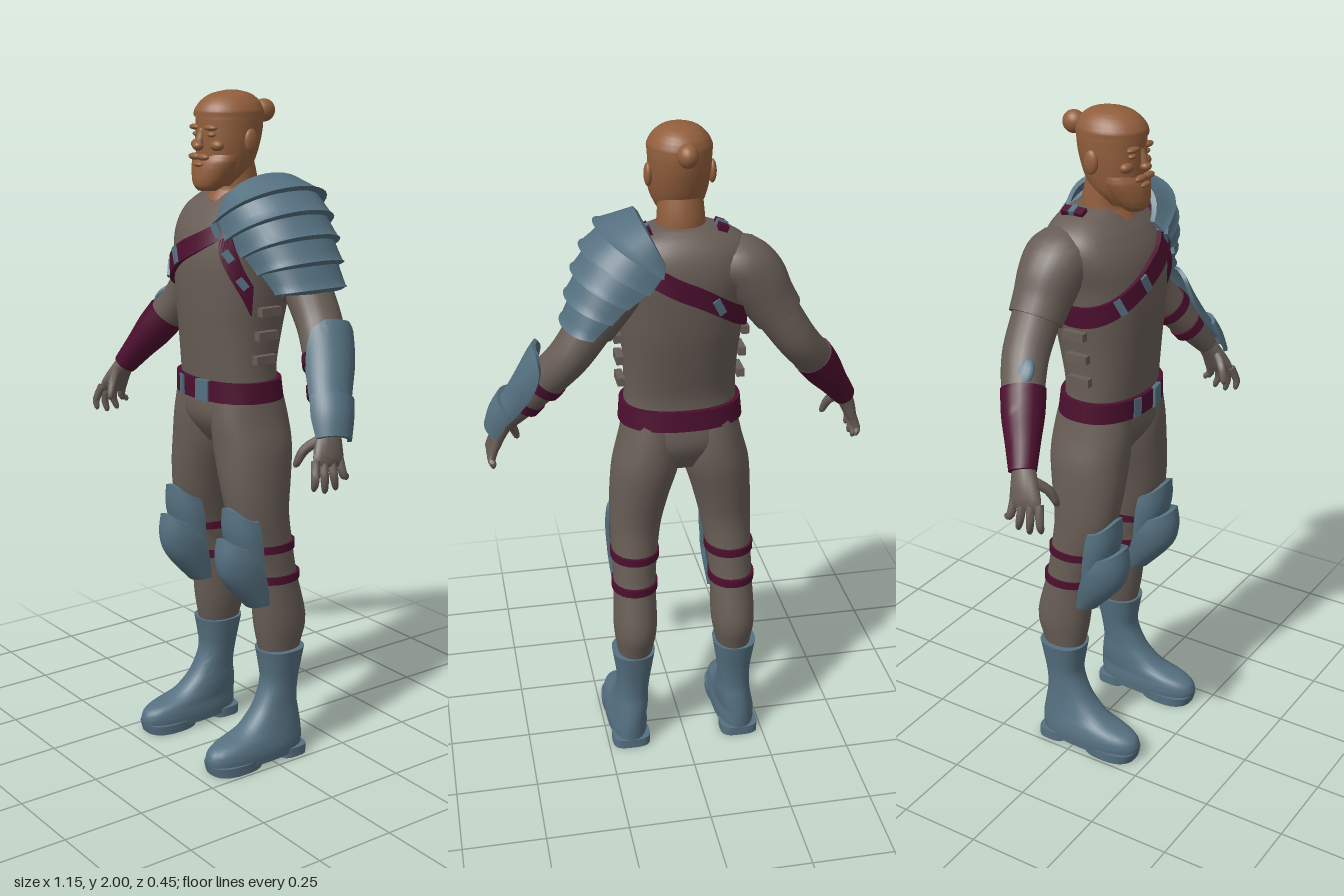
import * as THREE from 'three';
import { toCreasedNormals } from 'three/addons/utils/BufferGeometryUtils.js';

const mat = (name, color) => Object.assign(new THREE.MeshStandardMaterial({ color }), { name });
const V = (x, y, z) => new THREE.Vector3(x, y, z);

// Skin a stack of equal-sized closed rings, cap both ends, and turn the faces outward.
function loft(rings, side = 1, crease = 0.9) {
  const n = rings[0].length, pos = [], idx = [];
  rings.forEach(r => r.forEach(p => pos.push(p.x * side, p.y, p.z)));
  for (let i = 0; i < rings.length - 1; i++) for (let j = 0; j < n; j++) {
    const a = i * n + j, b = i * n + (j + 1) % n;
    idx.push(a, b, a + n, b, b + n, a + n);
  }
  const e = (rings.length - 1) * n;
  for (let j = 0; j < n / 2 - 1; j++) {
    const k = n - 1 - j;
    idx.push(j, k, j + 1, k, k - 1, j + 1);
    idx.push(e + j, e + j + 1, e + k, e + k, e + j + 1, e + k - 1);
  }
  const at = i => V(pos[3 * i], pos[3 * i + 1], pos[3 * i + 2]);
  let volume = 0;
  for (let i = 0; i < idx.length; i += 3) volume += at(idx[i]).dot(at(idx[i + 1]).cross(at(idx[i + 2])));
  if (volume < 0) idx.reverse();
  const g = new THREE.BufferGeometry();
  g.setAttribute('position', new THREE.Float32BufferAttribute(pos, 3));
  g.setIndex(idx);
  return toCreasedNormals(g, crease);
}

// Catmull-Rom resampling of every column of a profile table.
function smooth(rows, k = 4) {
  const out = [], at = i => rows[Math.max(0, Math.min(rows.length - 1, i))];
  for (let i = 0; i < rows.length - 1; i++) for (let s = 0; s < k; s++) {
    const t = s / k;
    out.push(at(i).map((b, c) => {
      const a = at(i - 1)[c], d = at(i + 1)[c], f = at(i + 2)[c];
      return b + 0.5 * t * (d - a + t * (2 * a - 5 * b + 4 * d - f + t * (3 * (b - d) + f - a)));
    }));
  }
  out.push(at(rows.length - 1));
  return out;
}

const pw = (v, p) => Math.sign(v) * Math.abs(v) ** p;
// Horizontal ring point: row = [y, centre x, half width, front z, back z]
const ringPoint = ([y, cx, rx, zf, zb], a, off = 0, p = 1) =>
  V(cx + (rx + off) * pw(Math.sin(a), p), y, (zf + zb) / 2 + ((zf - zb) / 2 + off) * pw(Math.cos(a), p));
const around = (f, n = 28) => Array.from({ length: n }, (_, i) => f(i / n * Math.PI * 2));
const body = (rows, side, p = 1, off = 0, k = 4) =>
  loft(smooth(rows, k).map(r => around(a => ringPoint(r, a, off, p))), side);

// Rings across a bent path: row = [x, y, z, radius out, radius fore-aft, arc half angle]
function pathRings(rows, make) {
  return rows.map((r, i) => {
    const a = rows[Math.max(0, i - 1)], b = rows[Math.min(rows.length - 1, i + 1)];
    const t = V(b[0] - a[0], b[1] - a[1], b[2] - a[2]).normalize();
    const u = V(0, 0, 1).cross(t).normalize(), v = t.clone().cross(u);
    return make((ang, off = 0) => V(r[0], r[1], r[2])
      .addScaledVector(u, (r[3] + off) * Math.cos(ang)).addScaledVector(v, (r[4] + off) * Math.sin(ang)), r);
  });
}
const limb = (rows, side, n = 20, k = 4) => loft(pathRings(smooth(rows, k), f => around(a => f(a), n)), side);
// Crescent ring: outer arc followed by the inner arc in reverse
const crescent = (f, half, thick, m = 16) => {
  const angles = Array.from({ length: m + 1 }, (_, i) => half * (2 * i / m - 1));
  return [...angles.map(a => f(a, 0)), ...angles.reverse().map(a => f(a, -thick))];
};
const guard = (rows, side) => loft(pathRings(smooth(rows), (f, r) => crescent(f, r[5], 0.012)), side, 0.7);

const TORSO = smooth([[0.98, 0, 0.07, 0.07, -0.08], [1.06, 0, 0.168, 0.122, -0.118], [1.15, 0, 0.168, 0.122, -0.11],
  [1.22, 0, 0.165, 0.128, -0.108], [1.32, 0, 0.168, 0.138, -0.13], [1.42, 0, 0.178, 0.146, -0.152],
  [1.52, 0, 0.186, 0.148, -0.165], [1.60, 0, 0.205, 0.132, -0.168], [1.66, 0, 0.195, 0.098, -0.155],
  [1.70, 0, 0.15, 0.062, -0.13], [1.725, 0, 0.085, 0.04, -0.1]], 5);
function onTorso(y, a, off = 0) {
  const i = Math.max(0, Math.min(TORSO.length - 2, TORSO.findIndex(r => r[0] > y) - 1));
  const r = TORSO[i], s = TORSO[i + 1], t = (y - r[0]) / (s[0] - r[0]);
  return ringPoint(r.map((v, c) => v + (s[c] - v) * t), a, off, 0.88);
}
// Band lying on the torso; height(a) is its middle line.
function strap(height, w, a0 = 0, a1 = Math.PI * 2, n = 64) {
  return loft(Array.from({ length: n + 1 }, (_, i) => {
    const a = a0 + (a1 - a0) * i / n, y = height(a);
    return [onTorso(y - w, a, -0.01), onTorso(y - w, a, 0.013), onTorso(y + w, a, 0.013), onTorso(y + w, a, -0.01)];
  }), 1, 0.6);
}

export function createModel() {
  const root = new THREE.Group();
  root.name = 'armouredMan';
  const cloth = mat('greyBrownCloth', 0x685d56), steel = mat('blueSteel', 0x557080);
  const leather = mat('maroonLeather', 0x4c0f2e), skin = mat('tanSkin', 0x915e3c);
  const add = (name, geo, m, x = 0, y = 0, z = 0) => {
    const mesh = new THREE.Mesh(geo, m);
    mesh.name = name;
    mesh.position.set(x, y, z);
    root.add(mesh);
    return mesh;
  };
  const blob = (name, m, x, y, z, sx, sy, sz) =>
    add(name, new THREE.SphereGeometry(1, 20, 14), m, x, y, z).scale.set(sx, sy, sz);
  const fitting = (name, m, y, a, w, h, d = 0.014, roll = 0) => {
    const p = onTorso(y, a, 0.012);
    add(name, new THREE.BoxGeometry(w, h, d), m, p.x, p.y, p.z).rotation.set(0, a, roll, 'YXZ');
  };

  // Torso, belt and chest harness
  add('tunic', loft(TORSO.map(r => around(a => ringPoint(r, a, 0, 0.88), 36))), cloth);
  add('belt', strap(() => 1.152, 0.03), leather);
  fitting('beltBuckle', steel, 1.152, 0.2, 0.05, 0.062);
  fitting('beltClasp', steel, 1.152, -0.3, 0.028, 0.058);
  const sash = a => 1.565 + 0.12 * Math.sin(a);
  add('chestStrap', strap(sash, 0.03), leather);
  add('sideStrap', strap(a => 1.6 - 0.26 * (a - 0.57), 0.042, 0.5, 1.25, 16), leather);
  [-0.75, -0.25, 0.45, 2.6, 3.5].forEach(a => fitting('strapBuckle', steel, sash(a), a, 0.022, 0.05, 0.012, 0.5));
  [0.75, 1.05].forEach(a => fitting('sideBuckle', steel, 1.6 - 0.26 * (a - 0.57), a, 0.035, 0.022, 0.014, -0.9));
  for (const s of [-1, 1]) {
    [1.25, 1.32, 1.39].forEach(y => fitting('sideTab', cloth, y, s * 1.57, 0.07, 0.025, 0.022));
    const tab = add('shoulderTab', new THREE.BoxGeometry(0.028, 0.022, 0.07), leather, s * 0.107, 1.718, -0.05);
    tab.rotation.z = -s * 0.4;
    add('shoulderTabBuckle', new THREE.BoxGeometry(0.032, 0.026, 0.018), steel, s * 0.107, 1.72, -0.05).rotation.z = -s * 0.4;
  }

  // Neck and head
  add('neck', limb([[0, 1.66, 0.01, 0.075, 0.07], [0, 1.72, -0.015, 0.07, 0.068], [0, 1.82, 0, 0.062, 0.06]], 1), skin);
  add('head', body([[1.735, 0, 0.045, 0.085, 0], [1.77, 0, 0.068, 0.1, -0.045], [1.81, 0, 0.08, 0.105, -0.07],
    [1.86, 0, 0.087, 0.107, -0.087], [1.9, 0, 0.089, 0.106, -0.095], [1.935, 0, 0.088, 0.104, -0.095],
    [1.965, 0, 0.075, 0.088, -0.085], [1.986, 0, 0.052, 0.06, -0.06], [1.994, 0, 0.012, 0.015, -0.02]], 1), skin);
  add('hairCap', body([[1.928, 0, 0.091, 0.111, -0.099], [1.945, 0, 0.09, 0.11, -0.097], [1.97, 0, 0.075, 0.092, -0.085],
    [1.99, 0, 0.05, 0.06, -0.058], [2.0, 0, 0.012, 0.015, -0.02]], 1), skin);
  add('beard', body([[1.722, 0, 0.03, 0.108, 0.06], [1.74, 0, 0.05, 0.121, 0.03], [1.775, 0, 0.07, 0.12, 0],
    [1.805, 0, 0.081, 0.113, -0.01], [1.825, 0, 0.08, 0.1, -0.01]], 1), skin);
  blob('hairBun', skin, 0, 1.94, -0.118, 0.03, 0.033, 0.034);
  blob('noseTip', skin, 0, 1.848, 0.114, 0.017, 0.013, 0.017);
  add('noseBridge', limb([[0, 1.895, 0.1, 0.01, 0.01], [0, 1.85, 0.112, 0.014, 0.014]], 1, 10), skin);
  blob('lowerLip', skin, 0, 1.797, 0.115, 0.022, 0.008, 0.01);
  for (const s of [-1, 1]) {
    blob('ear', skin, s * 0.09, 1.862, -0.005, 0.012, 0.034, 0.022);
    blob('brow', skin, s * 0.036, 1.899, 0.096, 0.026, 0.009, 0.014);
    blob('eye', skin, s * 0.036, 1.88, 0.092, 0.015, 0.008, 0.012);
    blob('cheek', skin, s * 0.045, 1.85, 0.082, 0.026, 0.016, 0.018);
    blob('moustache', skin, s * 0.02, 1.818, 0.112, 0.026, 0.01, 0.012);
  }

  for (const s of [-1, 1]) {
    // Arms, sleeves and gloved hands
    add('arm', limb([[0.24, 1.5, -0.07, 0.07, 0.07], [0.29, 1.425, -0.072, 0.064, 0.07], [0.337, 1.358, -0.065, 0.06, 0.068],
      [0.4, 1.28, -0.03, 0.056, 0.06], [0.46, 1.2, 0.01, 0.045, 0.05], [0.513, 1.125, 0.045, 0.03, 0.036]], s), cloth);
    add('sleeve', limb([[0.1, 1.61, -0.055, 0.07, 0.09], [0.165, 1.605, -0.06, 0.085, 0.1], [0.205, 1.56, -0.066, 0.09, 0.094],
      [0.24, 1.503, -0.07, 0.08, 0.085], [0.272, 1.455, -0.072, 0.074, 0.08]], s), cloth);
    add('palm', limb([[0.507, 1.135, 0.042, 0.027, 0.032], [0.53, 1.09, 0.06, 0.024, 0.042],
      [0.545, 1.05, 0.072, 0.019, 0.05], [0.549, 1.03, 0.076, 0.012, 0.046]], s, 16), cloth);
    for (let i = 0; i < 4; i++) {
      const z = 0.037 + i * 0.027, tip = 0.02 + i * 0.037, drop = [0.985, 0.963, 0.96, 0.972][i];
      add('finger', limb([[0.546, 1.05, z, 0.013, 0.013], [0.562, 1.005, (z + tip) / 2 + 0.006, 0.012, 0.012],
        [0.558, drop + 0.01, tip, 0.009, 0.009], [0.556, drop, tip, 0.004, 0.004]], s, 10, 3), cloth);
    }
    add('thumb', limb([[0.52, 1.1, 0.08, 0.015, 0.015], [0.492, 1.07, 0.112, 0.014, 0.014],
      [0.478, 1.03, 0.128, 0.01, 0.01], [0.477, 1.02, 0.129, 0.004, 0.004]], s, 10, 3), cloth);

    // Trousers
    add('trouserLeg', body([[1.14, 0.086, 0.082, 0.118, -0.108], [1.06, 0.095, 0.09, 0.124, -0.122], [0.98, 0.106, 0.1, 0.12, -0.125],
      [0.88, 0.125, 0.09, 0.115, -0.11], [0.78, 0.139, 0.079, 0.1, -0.096], [0.68, 0.147, 0.07, 0.06, -0.105],
      [0.58, 0.152, 0.065, 0.03, -0.12], [0.44, 0.155, 0.067, 0.018, -0.154], [0.36, 0.157, 0.056, 0.005, -0.138],
      [0.3, 0.16, 0.045, -0.01, -0.12]], s, 0.95), cloth);

    // Knee armour: rows are [y, half width, front z, side z, peak]
    const knee = (name, rows) => add(name, loft(smooth(rows).map(([y, hw, zf, zs, peak]) =>
      crescent((a, o) => V(0.148 + (hw + o) * Math.sin(a), y + peak * Math.cos(a) ** 2, zs + (zf - zs + o) * Math.cos(a) ** 0.9),
        1.55, 0.012)), s, 0.6), steel);
    knee('thighPlate', [[0.78, 0.072, 0.122, 0.055, 0.035], [0.72, 0.078, 0.122, 0.045, 0.015], [0.62, 0.073, 0.09, 0.035, 0]]);
    knee('kneePlate', [[0.695, 0.065, 0.147, 0.068, 0.03], [0.65, 0.073, 0.155, 0.045, 0.01],
      [0.59, 0.07, 0.135, 0.022, 0], [0.505, 0.058, 0.05, 0.005, -0.012]]);
    [[0.68, 0.147, 0.075, 0.06, -0.112], [0.58, 0.152, 0.071, 0.034, -0.128]].forEach(([y, ...r]) =>
      add('kneeStrap', body([[y - 0.012, ...r], [y + 0.012, ...r]], s, 0.95, 0, 1), leather));

    // Boots
    add('boot', body([[0.015, 0.177, 0.063, 0.21, -0.128], [0.05, 0.177, 0.065, 0.214, -0.13], [0.078, 0.176, 0.06, 0.19, -0.13],
      [0.105, 0.172, 0.056, 0.105, -0.127], [0.14, 0.168, 0.053, 0.055, -0.122], [0.18, 0.166, 0.05, 0.022, -0.116],
      [0.24, 0.163, 0.052, -0.003, -0.12], [0.3, 0.162, 0.06, 0.002, -0.131], [0.346, 0.162, 0.067, 0.01, -0.14]], s, 0.85), steel);
    add('bootHeel', body([[0, 0.177, 0.06, -0.03, -0.13], [0.03, 0.177, 0.06, -0.03, -0.13]], s, 0.6, 0, 1), steel);
    add('bootSole', body([[0, 0.177, 0.064, 0.205, 0.03], [0.03, 0.177, 0.065, 0.213, 0.02]], s, 0.8, 0, 1), steel);
  }

  // Right forearm: leather bracer and elbow pad
  add('bracer', limb([[0.39, 1.295, -0.035, 0.062, 0.065], [0.43, 1.24, -0.01, 0.058, 0.062],
    [0.47, 1.185, 0.016, 0.046, 0.052], [0.517, 1.12, 0.046, 0.036, 0.04]], -1), leather);
  const pad = add('elbowPad', new THREE.SphereGeometry(1, 16, 10), steel, -0.398, 1.347, -0.035);
  pad.scale.set(0.016, 0.05, 0.04);
  pad.rotation.z = -0.65;

  // Left forearm: guard plates held by two straps
  add('forearmGuard', guard([[0.36, 1.365, -0.05, 0.082, 0.086, 0.5], [0.375, 1.335, -0.043, 0.085, 0.086, 1],
    [0.41, 1.275, -0.025, 0.08, 0.082, 1.3], [0.46, 1.2, 0.01, 0.066, 0.07, 1.4], [0.5, 1.145, 0.035, 0.06, 0.062, 1.4]], 1), steel);
  add('wristGuard', guard([[0.472, 1.185, 0.02, 0.075, 0.075, 1.2], [0.5, 1.14, 0.037, 0.071, 0.07, 1.35],
    [0.528, 1.09, 0.052, 0.056, 0.06, 1.3]], 1), steel);
  [[0.4, 1.28, -0.03, 0.064], [0.452, 1.21, 0.005, 0.056]].forEach(([x, y, z, r]) =>
    add('forearmStrap', limb([[x - 0.009, y + 0.012, z - 0.005, r, r], [x + 0.009, y - 0.012, z + 0.005, r, r]], 1, 20, 1), leather));

  // Left shoulder: overlapping plates; edges are [apex x, apex y, end x, end y, middle z, half depth]
  const edges = [[0.135, 1.775, 0.075, 1.665, -0.05, 0.15], [0.225, 1.735, 0.085, 1.64, -0.05, 0.163],
    [0.272, 1.675, 0.12, 1.595, -0.052, 0.156], [0.3, 1.61, 0.175, 1.555, -0.057, 0.142],
    [0.322, 1.54, 0.22, 1.51, -0.063, 0.125], [0.338, 1.465, 0.27, 1.46, -0.068, 0.105]];
  for (let i = 0; i < 5; i++) {
    const [a, b] = [edges[i], edges[i + 1]];
    const rows = [0, 0.35, 0.7, 1, 1.12].map(t => a.map((v, c) => v + (b[c] - v) * t));
    add('shoulderPlate' + (i + 1), loft(rows.map(([ax, ay, ex, ey, zc, hz], j) => crescent((g, o) => {
      const c = Math.cos(g) ** 0.75, off = o + j * 0.004;
      return V(ex + (ax - ex + off) * c, ey + (ay - ey + off) * c, zc + (hz + off) * Math.sin(g));
    }, 1.57, 0.014, 20)), 1, 0.6), steel);
  }
  return root;
}
